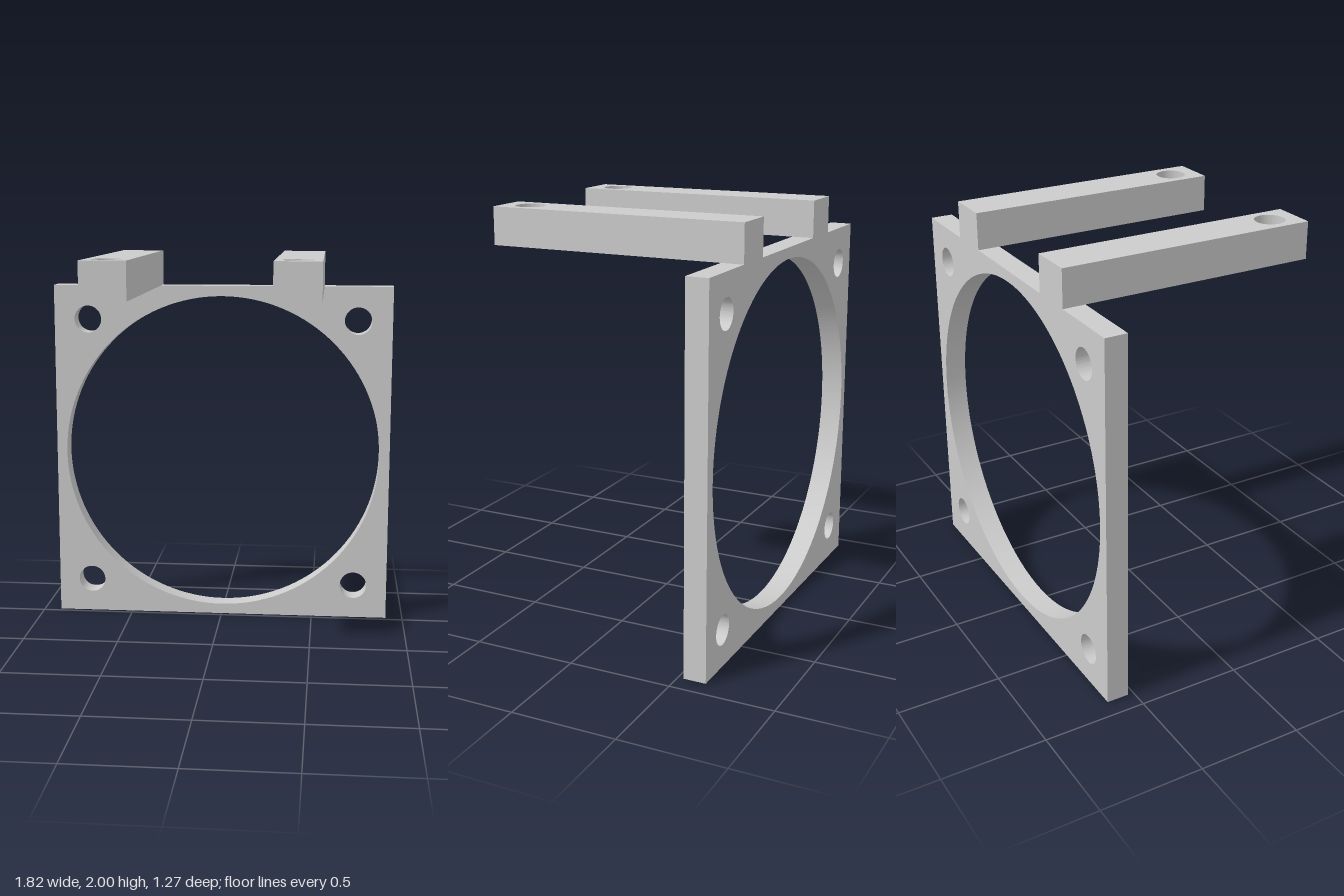
import * as THREE from 'three';
import { toCreasedNormals } from 'three/addons/utils/BufferGeometryUtils.js';

const TOP = 2;
const PLATE = 1.818;        // side of the square plate
const THICK = 0.109;
const DEPTH = 1.273;        // overall depth, also the arm length
const ARM_W = 0.218;
const HOLE_R = 0.0727;

const material = new THREE.MeshStandardMaterial({ color: 0xcccccc });

// Flat rectangular slab centred on the origin, with round holes [x, y, radius]
function drilledSlab(width, height, depth, holes) {
  const w = width / 2, h = height / 2;
  const shape = new THREE.Shape([
    new THREE.Vector2(-w, -h), new THREE.Vector2(w, -h),
    new THREE.Vector2(w, h), new THREE.Vector2(-w, h),
  ]);
  for (const [x, y, r] of holes) {
    shape.holes.push(new THREE.Path().absarc(x, y, r, 0, Math.PI * 2, true));
  }
  const geometry = new THREE.ExtrudeGeometry(shape, { depth, bevelEnabled: false, curveSegments: 64 });
  return toCreasedNormals(geometry, Math.PI / 6);
}

export function createModel() {
  const model = new THREE.Group();
  model.name = 'fanBracket';

  // Upright plate with a large opening and four corner screw holes
  const plateHoles = [[0, 0, 0.8545]];
  for (const sx of [-1, 1]) {
    for (const sy of [-1, 1]) plateHoles.push([sx * 0.727, sy * 0.727, HOLE_R]);
  }
  const plate = new THREE.Mesh(drilledSlab(PLATE, PLATE, THICK, plateHoles), material);
  plate.name = 'mountingPlate';
  plate.position.set(0, PLATE / 2, -DEPTH / 2);
  model.add(plate);

  // Two arms reaching forward over the plate, each with a vertical hole near its tip
  const armGeometry = drilledSlab(ARM_W, DEPTH, TOP - PLATE, [[0, 0.498, HOLE_R]]);
  armGeometry.rotateX(Math.PI / 2);
  for (const [name, side] of [['leftArm', 1], ['rightArm', -1]]) {
    const arm = new THREE.Mesh(armGeometry, material);
    arm.name = name;
    arm.position.set(side * 0.436, TOP, 0);
    model.add(arm);
  }

  return model;
}
